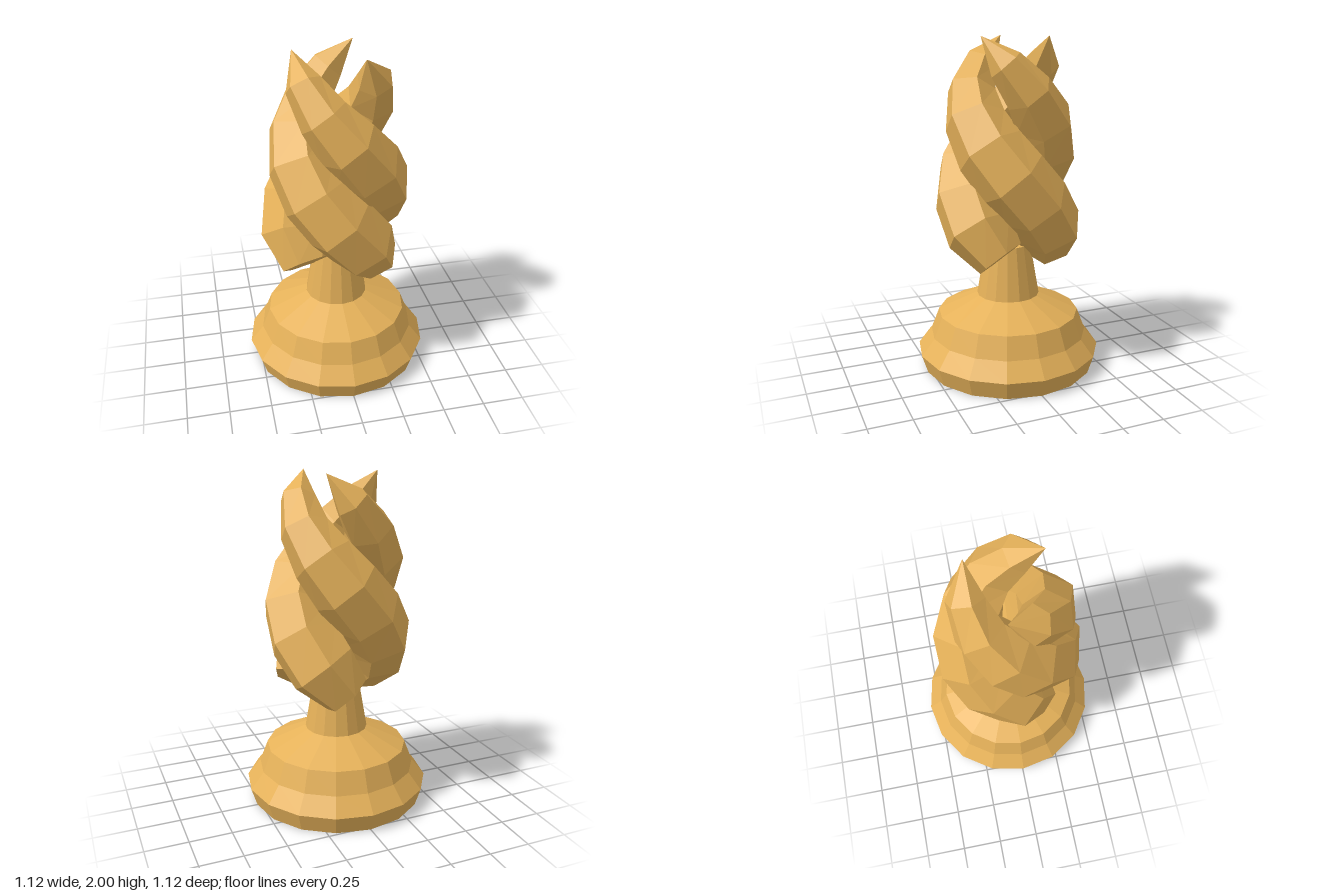
import * as THREE from 'three';

const DEG = Math.PI / 180;

// Faceted surfaces: one normal per face
function faceted(geometry) {
  const flat = geometry.toNonIndexed();
  flat.computeVertexNormals();
  return flat;
}

// One flame tongue: a tapered six-sided tube on a helix, from pointed tip (angle 0) down to a blunt end.
// roll is the angle of the blunt end's first corner below the outward direction.
function flameGeometry(roll) {
  const sections = [ // [distance from axis, tube radius]
    [0.24, 0.001], [0.217, 0.105], [0.215, 0.145], [0.215, 0.18], [0.222, 0.203],
    [0.232, 0.213], [0.242, 0.213], [0.25, 0.207], [0.245, 0.15],
  ];
  const rings = sections.length - 1, sides = 6;
  const curve = new THREE.CatmullRomCurve3(sections.map(([r], j) => {
    const t = j / rings;
    const angle = -(273 * t + 5 * Math.sin(Math.PI * t)) * DEG;
    return new THREE.Vector3(r * Math.cos(angle), 2 - 1.257 * t, r * Math.sin(angle));
  }));
  const { tangents, normals, binormals } = curve.computeFrenetFrames(rings);

  // Turn the tube so the blunt end has the wanted roll
  const end = curve.getPointAt(1);
  const out = new THREE.Vector3(end.x, 0, end.z).normalize();
  const down = tangents[rings].clone().cross(out);
  const corner = out.multiplyScalar(Math.cos(roll)).addScaledVector(down, Math.sin(roll));
  const start = Math.atan2(corner.dot(binormals[rings]), -corner.dot(normals[rings]));

  const positions = [], index = [];
  sections.forEach(([, radius], j) => {
    const centre = curve.getPointAt(j / rings);
    for (let i = 0; i < sides; i++) {
      const v = start + (i / sides) * Math.PI * 2;
      const p = centre.clone()
        .addScaledVector(normals[j], -Math.cos(v) * radius)
        .addScaledVector(binormals[j], Math.sin(v) * radius);
      positions.push(p.x, p.y, p.z);
    }
  });
  for (let j = 1; j <= rings; j++) {
    for (let i = 0; i < sides; i++) {
      const n = (i + 1) % sides;
      const a = (j - 1) * sides + i, b = j * sides + i;
      const c = j * sides + n, d = (j - 1) * sides + n;
      index.push(a, b, d, b, c, d);
    }
  }
  // Flat lower end
  const hub = positions.length / 3;
  positions.push(end.x, end.y, end.z);
  for (let i = 0; i < sides; i++) {
    index.push(hub, rings * sides + ((i + 1) % sides), rings * sides + i);
  }
  const geometry = new THREE.BufferGeometry();
  geometry.setAttribute('position', new THREE.Float32BufferAttribute(positions, 3));
  geometry.setIndex(index);
  return faceted(geometry);
}

// Turned 16-sided part from [radius, height] pairs
function turned(profile) {
  return faceted(new THREE.LatheGeometry(profile.map(([r, y]) => new THREE.Vector2(r, y)), 16));
}

export function createModel() {
  const model = new THREE.Group();
  model.name = 'flameTrophy';
  const gold = new THREE.MeshStandardMaterial({ color: 0xe5b159 });
  gold.name = 'gold';

  const add = (name, geometry) => {
    const mesh = new THREE.Mesh(geometry, gold);
    mesh.name = name;
    model.add(mesh);
    return mesh;
  };

  // Stepped base and tapering stem
  add('base', turned([[0, 0], [0.525, 0], [0.56, 0.11], [0.48, 0.21], [0.43, 0.34], [0.19, 0.45]]));
  add('stem', turned([[0.19, 0.45], [0.135, 0.77], [0, 0.77]]));

  // Three intertwined flames: [tip angle, roll]
  [[60, 22], [191, 46], [305, 22]].forEach(([angle, roll], i) => {
    add(`flame${i + 1}`, flameGeometry(roll * DEG)).rotation.y = -angle * DEG;
  });

  return model;
}
